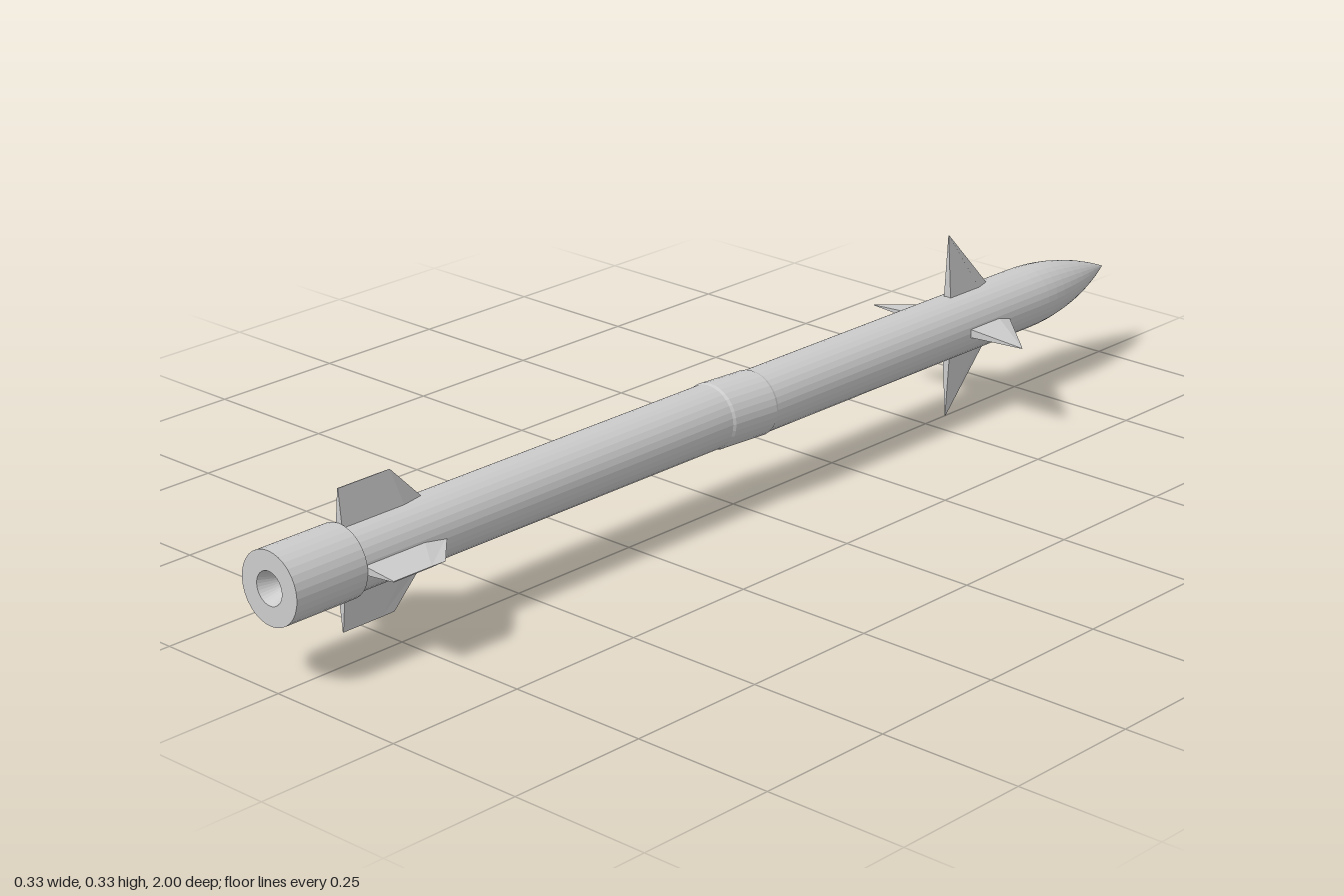
import * as THREE from 'three';

const AXIS_Y = 0.175, REAR_X = -0.009, R = 0.055, SIDES = 32;

const grey = new THREE.MeshStandardMaterial({ color: 0xcccccc });
const facetGrey = new THREE.MeshStandardMaterial({ color: 0xcccccc, flatShading: true });
const orange = new THREE.MeshStandardMaterial({ color: 0xe08020 });

// Turned part along z; profile runs from the tail (+z) to the nose (-z) as [radius, z]
function turned(name, profile, material) {
  const points = profile.map(([r, z]) => new THREE.Vector2(r, -z));
  const geometry = new THREE.LatheGeometry(points, SIDES).rotateX(-Math.PI / 2);
  const mesh = new THREE.Mesh(geometry, material);
  mesh.name = name;
  mesh.position.y = AXIS_Y;
  return mesh;
}

// Tapered fin lofted from a thick root to a thin tip, growing along +y.
// Each section has a pointed leading edge and a blunt trailing edge.
function finGeometry(sections) {
  const positions = [], index = [], n = 5;
  for (const { y, lead, trail, half } of sections) {
    const shoulder = lead + (trail - lead) * 0.27;
    for (const [x, z] of [[0, lead], [half, shoulder], [half, trail], [-half, trail], [-half, shoulder]])
      positions.push(x, y, z);
  }
  for (let s = 0; s < sections.length - 1; s++)
    for (let i = 0; i < n; i++) {
      const a = s * n + i, b = s * n + (i + 1) % n;
      index.push(a, a + n, b, b, a + n, b + n);
    }
  const top = (sections.length - 1) * n;
  for (let i = 1; i < n - 1; i++) index.push(top, top + i + 1, top + i);
  const geometry = new THREE.BufferGeometry();
  geometry.setAttribute('position', new THREE.Float32BufferAttribute(positions, 3));
  geometry.setIndex(index);
  geometry.computeVertexNormals();
  return geometry;
}

// Four fins in a cross around the axis
function finSet(name, x, sections) {
  const set = new THREE.Group();
  set.name = name;
  set.position.set(x, AXIS_Y, 0);
  const geometry = finGeometry(sections);
  for (let i = 0; i < 4; i++) {
    const fin = new THREE.Mesh(geometry, facetGrey);
    fin.name = name.replace('Fins', 'Fin') + (i + 1);
    fin.rotation.z = i * Math.PI / 2;
    set.add(fin);
  }
  return set;
}

export function createModel() {
  const model = new THREE.Group();
  model.name = 'missile';

  // Tube with a joint in the middle and a rounded pointed nose
  const profile = [[0, 0.87], [R, 0.87], [R, 0.05], [R + 0.002, 0.045], [R + 0.002, -0.045], [R, -0.05]];
  for (let i = 0; i <= 10; i++) {
    const t = i / 10;
    profile.push([R * (1 - t * t), -0.75 - 0.25 * t]);
  }
  const body = turned('body', profile, facetGrey);
  // The rear half sits slightly to one side; the joint blends the two
  const p = body.geometry.attributes.position;
  for (let i = 0; i < p.count; i++)
    p.setX(i, p.getX(i) + REAR_X * THREE.MathUtils.clamp(p.getZ(i) / 0.1 + 0.5, 0, 1));
  body.geometry.computeVertexNormals();
  model.add(body);

  // Tail collar with a conical nozzle recess
  const tail = turned('tailCollar',
    [[0, 0.95], [0.008, 0.95], [0.028, 1], [0.061, 1], [0.061, 0.86], [0, 0.86]], facetGrey);
  tail.position.x = REAR_X;
  model.add(tail);

  // Small glowing core in the nozzle
  const core = new THREE.Mesh(new THREE.SphereGeometry(0.008, 16, 10), orange);
  core.name = 'nozzleCore';
  core.position.set(REAR_X, AXIS_Y, 0.953);
  model.add(core);

  // Triangular front fins and clipped rear fins
  model.add(finSet('frontFins', 0, [
    { y: 0.045, lead: -0.67, trail: -0.553, half: 0.008 },
    { y: 0.167, lead: -0.555, trail: -0.553, half: 0.0004 },
  ]));
  model.add(finSet('rearFins', REAR_X, [
    { y: 0.045, lead: 0.683, trail: 0.86, half: 0.008 },
    { y: 0.117, lead: 0.755, trail: 0.86, half: 0.0008 },
  ]));

  return model;
}
